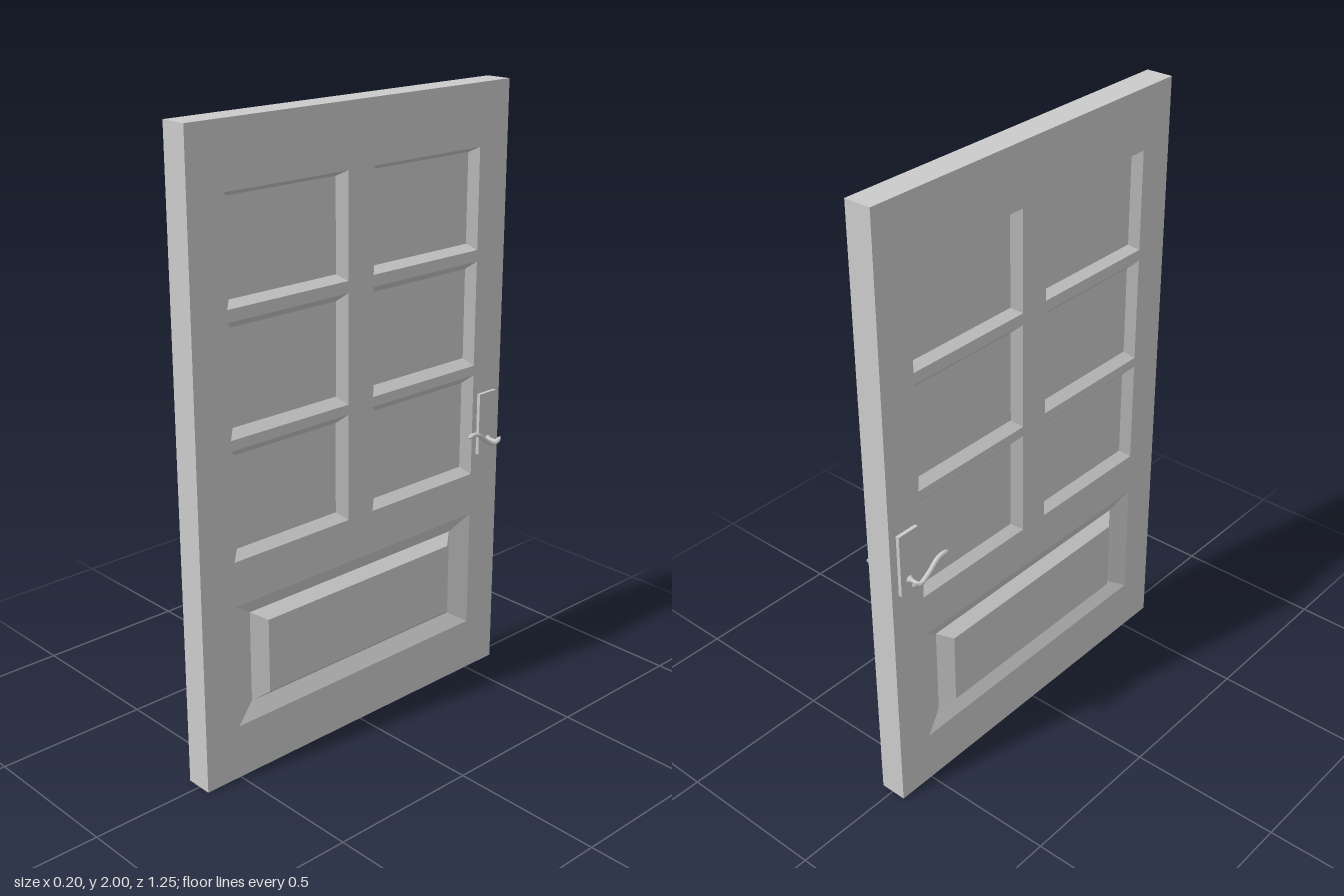
import * as THREE from 'three';

const mat = new THREE.MeshStandardMaterial({ color: 0xcccccc });
const flat = new THREE.MeshStandardMaterial({ color: 0xcccccc, flatShading: true });
const H = 0.0445;      // half thickness of the slab
const DEPTH = 0.025;   // how far the panels are sunk
const W = 0.627;       // half width

function add(group, name, geo, material) {
  const mesh = new THREE.Mesh(geo, material);
  mesh.name = name;
  group.add(mesh);
  return mesh;
}

// Joins rectangles [u0, u1, v0, v1, depth] in order and optionally closes the last one
function loft(rects, cap = true) {
  const loops = rects.map(([a, b, c, d, w]) => [[a, c, w], [b, c, w], [b, d, w], [a, d, w]]);
  const pos = [];
  const quad = (a, b, c, d) => pos.push(...a, ...b, ...c, ...a, ...c, ...d);
  for (let k = 0; k + 1 < loops.length; k++) {
    for (let i = 0; i < 4; i++) {
      const j = (i + 1) % 4;
      quad(loops[k][i], loops[k][j], loops[k + 1][j], loops[k + 1][i]);
    }
  }
  if (cap) quad(...loops[loops.length - 1]);
  const geo = new THREE.BufferGeometry();
  geo.setAttribute('position', new THREE.Float32BufferAttribute(pos, 3));
  geo.computeVertexNormals();
  return geo;
}

function rectPath(path, [a, b, c, d]) {
  path.moveTo(a, c);
  path.lineTo(b, c);
  path.lineTo(b, d);
  path.lineTo(a, d);
  path.closePath();
  return path;
}

// Rows of sunk panels: bottom, top, side inset, bottom inset, top inset
const rows = [
  [1.48, 1.804, 0.026, 0.02, 0.016],
  [1.098, 1.443, 0.027, 0.026, 0.024],
  [0.721, 1.066, 0.03, 0.027, 0.026],
];

// Lever handle with its plate; s flips it sideways
function makeHandle(s) {
  const g = new THREE.Group();
  g.name = 'handle';
  const [a, b] = s > 0 ? [0.523, 0.6] : [-0.6, -0.523];
  add(g, 'handlePlate', loft([[a, b, 0.788, 0.997, H], [a, b, 0.788, 0.997, H + 0.012]]), flat);

  // Spindle flaring toward the plate
  const spindle = new THREE.LatheGeometry([
    [0.013, 0], [0.008, 0.008], [0.006, 0.016], [0.006, 0.036],
  ].map(p => new THREE.Vector2(...p)), 12);
  spindle.rotateX(Math.PI / 2);
  add(g, 'handleSpindle', spindle, mat).position.set(s * 0.566, 0.834, H + 0.012);

  // Wavy lever, narrowing to a point at its free end
  const curve = new THREE.CatmullRomCurve3([
    [0.59, 0.845], [0.575, 0.832], [0.553, 0.829], [0.517, 0.85], [0.485, 0.876], [0.46, 0.882], [0.432, 0.877],
  ].map(([u, v]) => new THREE.Vector3(s * u, v, H + 0.0465)));
  const rings = 32, sides = 10;
  const lever = new THREE.TubeGeometry(curve, rings, 0.0075, sides);
  const p = lever.attributes.position, v = new THREE.Vector3();
  for (let i = 0; i < p.count; i++) {
    const t = Math.floor(i / (sides + 1)) / rings;
    const k = t > 0.92 ? Math.max(0.02, (1 - t) / 0.08) : t < 0.06 ? Math.sqrt(Math.max(0.01, t / 0.06)) : 1;
    const c = curve.getPointAt(t);
    v.fromBufferAttribute(p, i).sub(c).multiplyScalar(k).add(c);
    p.setXYZ(i, v.x, v.y, v.z);
  }
  lever.computeVertexNormals();
  add(g, 'handleLever', lever, mat);
  return g;
}

// One face of the door, built facing +z
function makeSide(s) {
  const g = new THREE.Group();
  g.name = s > 0 ? 'leftSide' : 'rightSide';
  const face = rectPath(new THREE.Shape(), [-W, W, 0, 2]);

  // Six sunk panels
  for (const [y0, y1, side, bottom, top] of rows) {
    for (const [a, b] of [[-0.502, -0.051], [0.051, 0.502]]) {
      face.holes.push(rectPath(new THREE.Path(), [a, b, y0, y1]));
      add(g, 'sunkPanel', loft([
        [a, b, y0, y1, H],
        [a + side, b - side, y0 + bottom, y1 - top, H - DEPTH],
      ]), flat);
    }
  }

  // Wide lower panel: sloping surround, then a raised field
  face.holes.push(rectPath(new THREE.Path(), [-0.502, 0.502, 0.177, 0.578]));
  add(g, 'lowerPanel', loft([
    [-0.502, 0.502, 0.177, 0.578, H],
    [-0.43, 0.43, 0.226, 0.527, H - DEPTH],
    [-0.386, 0.386, 0.256, 0.499, H + 0.0095],
  ]), flat);

  const faceGeo = new THREE.ShapeGeometry(face);
  faceGeo.translate(0, 0, H);
  add(g, 'doorFace', faceGeo, flat);
  g.add(makeHandle(s));
  g.rotation.y = s * Math.PI / 2;
  return g;
}

export function createModel() {
  const model = new THREE.Group();
  model.name = 'door';
  const body = new THREE.Group();
  body.name = 'doorBody';
  body.position.x = -0.003;
  model.add(body);

  // Outer edges of the slab
  const rim = add(body, 'doorEdges', loft([[-W, W, 0, 2, -H], [-W, W, 0, 2, H]], false), flat);
  rim.rotation.y = Math.PI / 2;

  for (const s of [1, -1]) body.add(makeSide(s));
  return model;
}
